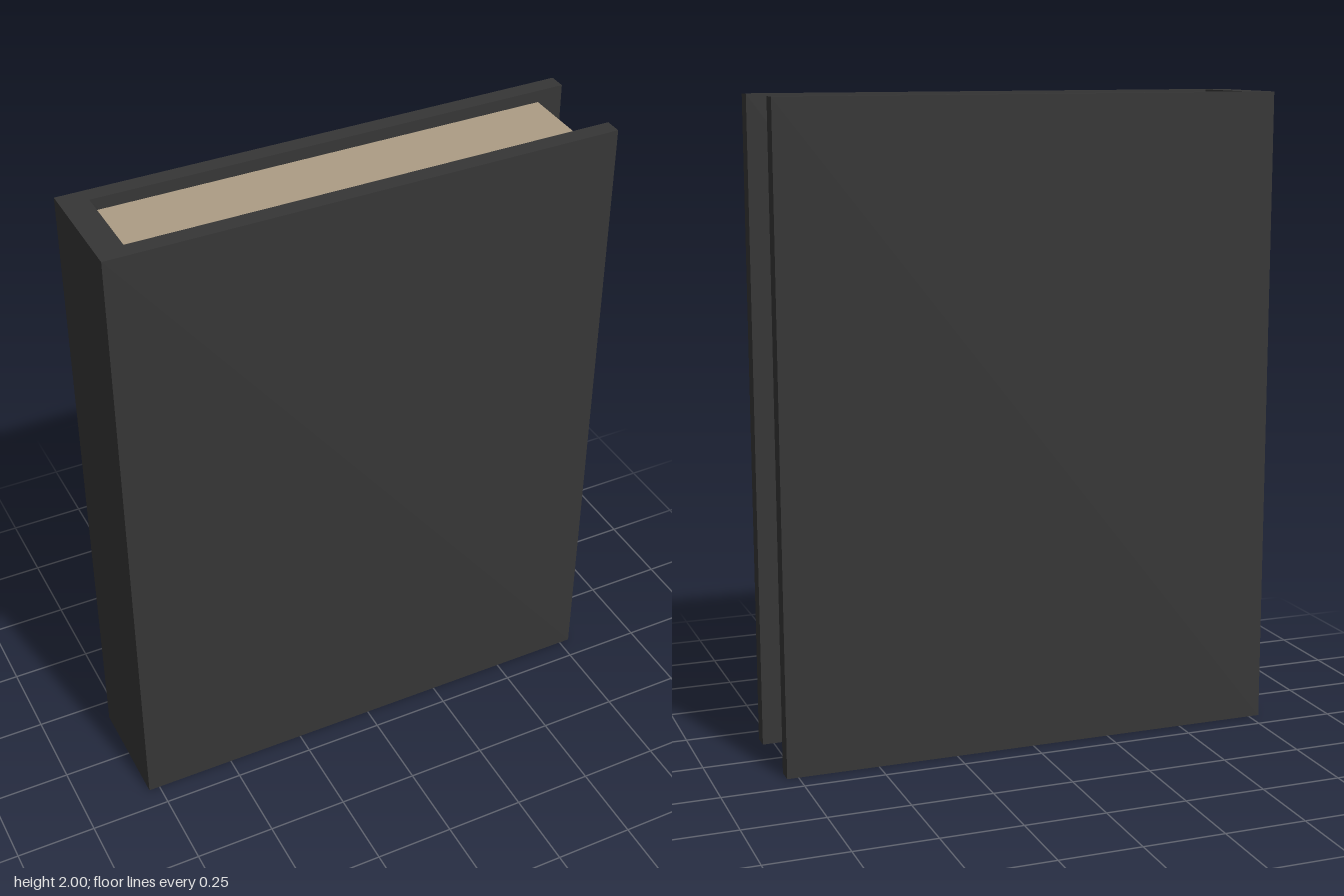
import * as THREE from 'three';

const H = 2, X = 0.785, Z = 0.18, INNER_Z = 0.127, SPINE_X = -0.703;

export function createModel() {
  const coverMat = new THREE.MeshStandardMaterial({ color: 0x363636 });
  coverMat.name = 'charcoal cover';
  const pageMat = new THREE.MeshStandardMaterial({ color: 0xad9d85 });
  pageMat.name = 'tan paper';

  const book = new THREE.Group();
  book.name = 'book';

  // Cover: one U-shaped section (two boards and the spine) extruded upwards
  const section = new THREE.Shape([
    [-X, -Z], [X, -Z], [X, -INNER_Z], [SPINE_X, -INNER_Z],
    [SPINE_X, INNER_Z], [X, INNER_Z], [X, Z], [-X, Z],
  ].map(([x, z]) => new THREE.Vector2(x, z)));
  const coverGeo = new THREE.ExtrudeGeometry(section, { depth: H, bevelEnabled: false });
  coverGeo.rotateX(-Math.PI / 2);
  const cover = new THREE.Mesh(coverGeo, coverMat);
  cover.name = 'cover';

  // Page block: inset at the top, bottom and fore edge
  const left = SPINE_X, right = 0.705, bottom = 0.037, top = 1.963;
  const pages = new THREE.Mesh(
    new THREE.BoxGeometry(right - left, top - bottom, INNER_Z * 2), pageMat);
  pages.position.set((left + right) / 2, (top + bottom) / 2, 0);
  pages.name = 'pages';

  book.add(cover, pages);
  return book;
}
